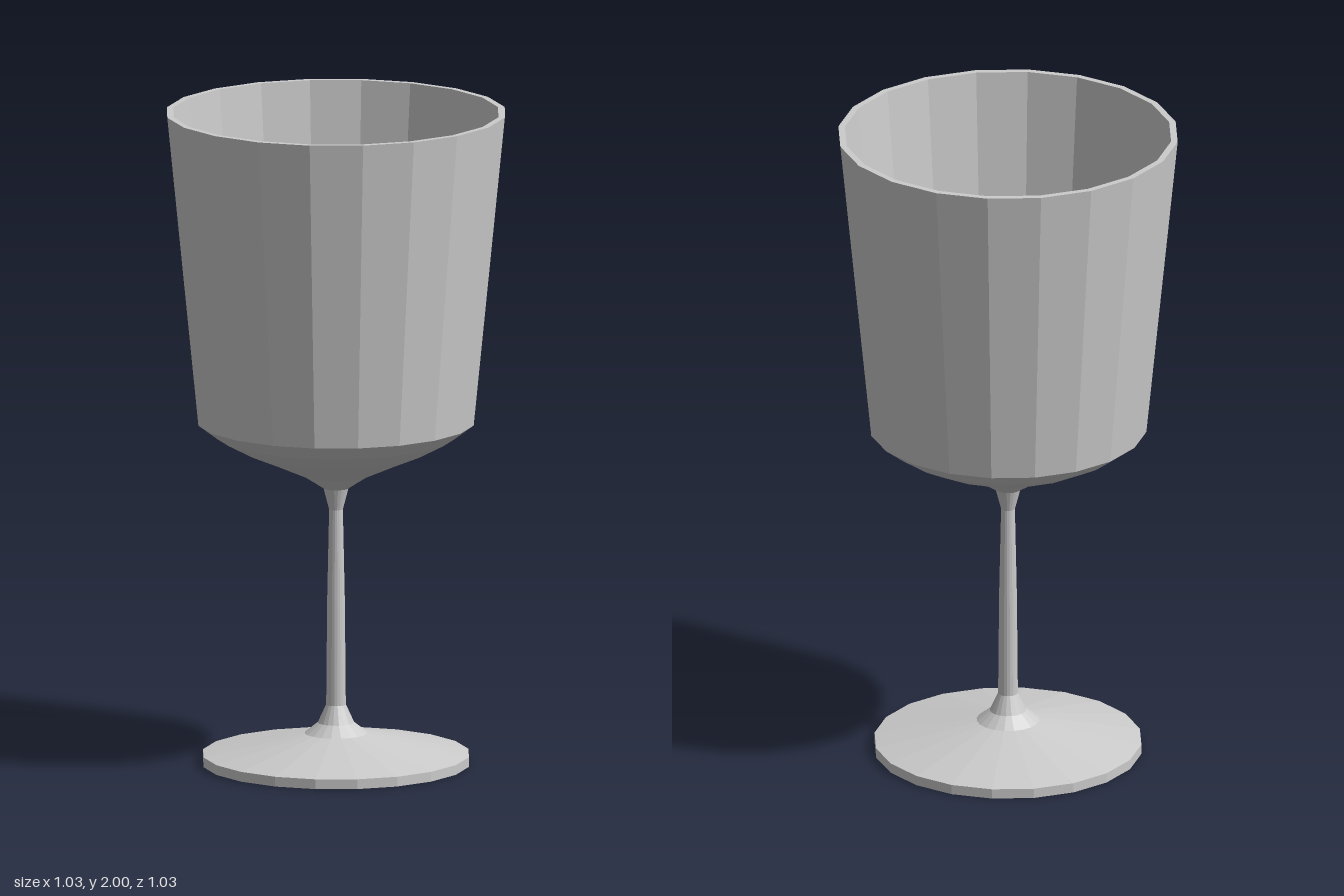
import * as THREE from 'three';

const SIDES = 20;
const material = new THREE.MeshStandardMaterial({ color: 0xcccccc, flatShading: true });

// Turns a [radius, height] profile, listed so that its faces point outwards.
function turned(name, profile) {
  const points = profile.map(([r, y]) => new THREE.Vector2(r, y));
  const mesh = new THREE.Mesh(new THREE.LatheGeometry(points, SIDES), material);
  mesh.name = name;
  return mesh;
}

export function createModel() {
  const glass = new THREE.Group();
  glass.name = 'wineGlass';

  // Foot: flat underside, thin edge, shallow cone flaring up into the stem
  glass.add(turned('foot', [
    [0, 0], [0.405, 0], [0.405, 0.03], [0.095, 0.093], [0.055, 0.125], [0.03, 0.18],
  ]));

  // Stem: slim taper, widening just under the bowl
  glass.add(turned('stem', [
    [0.03, 0.18], [0.027, 0.5], [0.021, 0.78], [0.038, 0.845],
  ]));

  // Bowl: rounded underside, flared wall, rim, then the inside down to a flat floor
  glass.add(turned('bowl', [
    [0.038, 0.845], [0.1, 0.885], [0.19, 0.925], [0.28, 0.963], [0.36, 1.005], [0.42, 1.05],
    [0.515, 2], [0.495, 2], [0.405, 1.06], [0.155, 0.95], [0, 0.95],
  ]));

  return glass;
}
